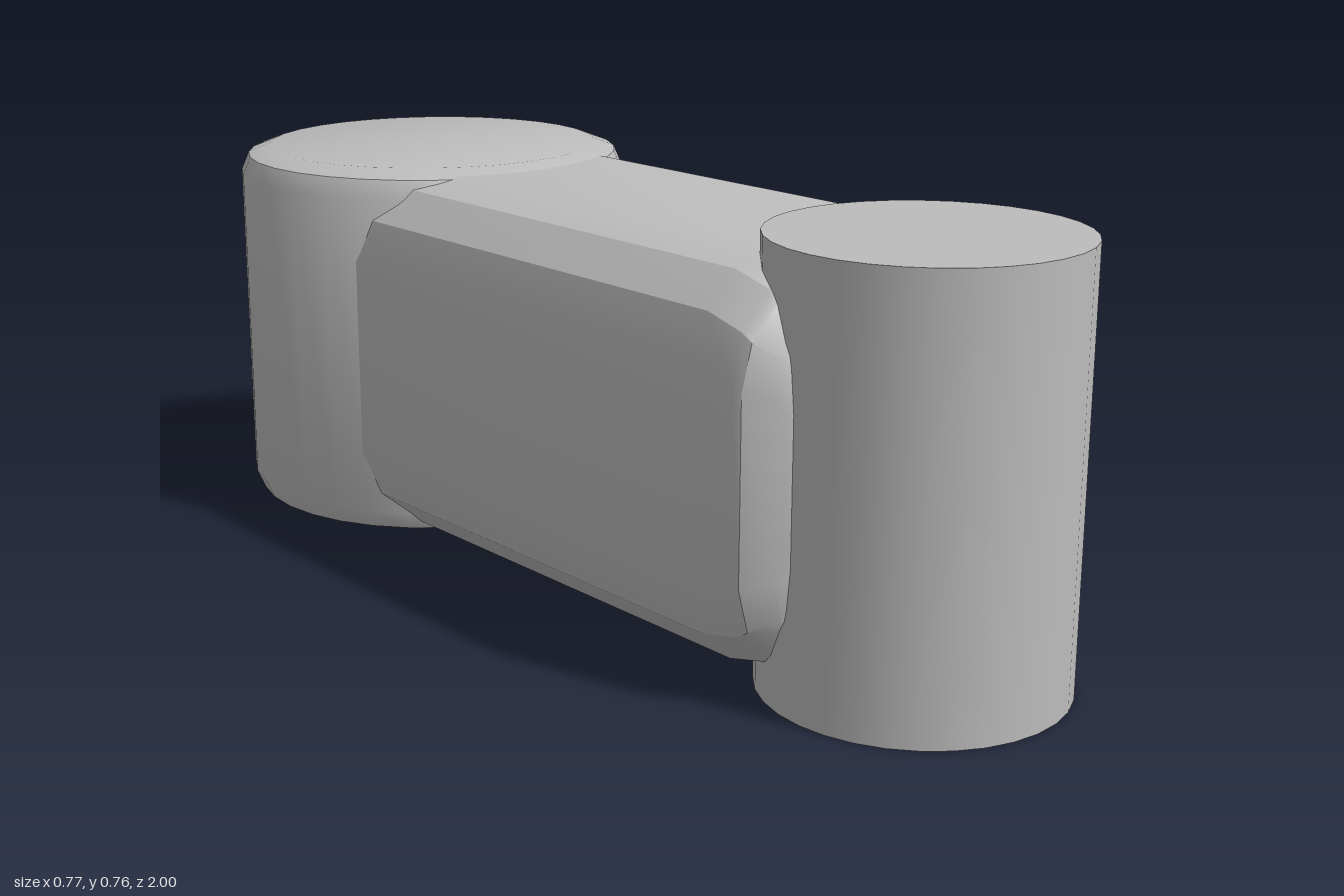
import * as THREE from 'three';
import { toCreasedNormals } from 'three/addons/utils/BufferGeometryUtils.js';

const CY = 0.38; // shared mid height of beam and drum

// Rounded rectangle section, counter-clockwise, three facets per corner
function section(halfW, halfH, r, z) {
  const ring = [];
  const corners = [[1, 1], [-1, 1], [-1, -1], [1, -1]];
  corners.forEach(([sx, sy], q) => {
    for (let k = 0; k <= 3; k++) {
      const a = (q + k / 3) * Math.PI / 2;
      ring.push([sx * (halfW - r) + r * Math.cos(a), sy * (halfH - r) + r * Math.sin(a), z]);
    }
  });
  return ring;
}

// Skin between sections of increasing z, closed at both ends
function loft(rings) {
  const n = rings[0].length, index = [];
  const points = rings.flat();
  for (let i = 0; i < rings.length - 1; i++) {
    for (let j = 0; j < n; j++) {
      const a = i * n + j, b = i * n + (j + 1) % n;
      index.push(a, b, b + n, a, b + n, a + n);
    }
  }
  const last = (rings.length - 1) * n;
  for (let j = 1; j < n - 1; j++) {
    index.push(0, j + 1, j, last, last + j, last + j + 1);
  }
  const g = new THREE.BufferGeometry();
  g.setAttribute('position', new THREE.Float32BufferAttribute(points.flat(), 3));
  g.setIndex(index);
  return toCreasedNormals(g, 0.45);
}

export function createModel() {
  const group = new THREE.Group();
  const grey = new THREE.MeshStandardMaterial({ color: 0xbcbcbc });
  grey.name = 'plain grey';
  const add = (name, geometry, x, y, z) => {
    const mesh = new THREE.Mesh(geometry, grey);
    mesh.name = name;
    mesh.position.set(x, y, z);
    group.add(mesh);
  };

  // Slim straight post at the front
  add('frontPost', new THREE.CylinderGeometry(0.265, 0.265, 0.763, 32), 0, 0.3815, 0.735);

  // Wide drum at the back with softened rims
  const rim = [[0, 0.361], [0.33, 0.361], [0.372, 0.345], [0.387, 0.31]];
  const profile = [
    ...rim.map(([r, y]) => new THREE.Vector2(r, -y)),
    ...rim.slice().reverse().map(([r, y]) => new THREE.Vector2(r, y)),
  ];
  add('backDrum', toCreasedNormals(new THREE.LatheGeometry(profile, 32), 0.6), 0, CY + 0.001, -0.613);

  // Chamfered beam joining the two, rounded off at its front end
  add('beam', loft([
    section(0.3375, 0.35, 0.16, -0.65),
    section(0.3375, 0.35, 0.16, 0.555),
    section(0.3375, 0.33, 0.16, 0.635),
    section(0.335, 0.315, 0.155, 0.655),
    section(0.295, 0.27, 0.12, 0.694),
    section(0.257, 0.19, 0.08, 0.715),
  ]), 0.0105, CY, 0);

  return group;
}
